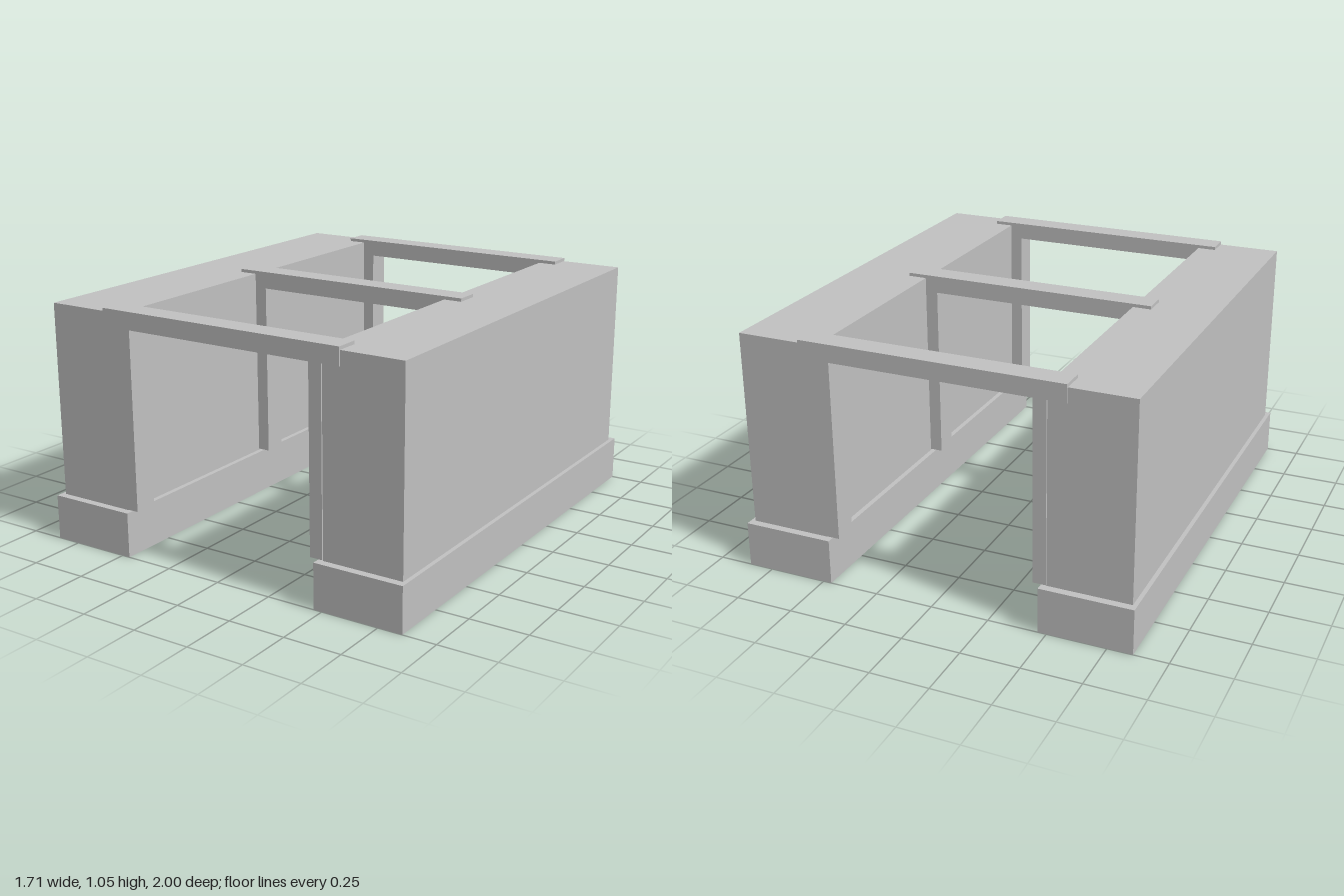
import * as THREE from 'three';

const grey = new THREE.MeshStandardMaterial({ color: 0xc0c0c0 });
grey.name = 'plain grey';

// Box given by its minimum and maximum along each axis
function block(name, [x0, x1], [y0, y1], [z0, z1]) {
  const mesh = new THREE.Mesh(new THREE.BoxGeometry(x1 - x0, y1 - y0, z1 - z0), grey);
  mesh.position.set((x0 + x1) / 2, (y0 + y1) / 2, (z0 + z1) / 2);
  mesh.name = name;
  return mesh;
}

export function createModel() {
  const model = new THREE.Group();
  model.name = 'bracedWalls';
  const frames = [-0.921, 0, 0.921];
  const halfDepth = 0.052;

  // Mirrored footings, walls and the posts against their inner faces
  for (const [side, s] of [['left', 1], ['right', -1]]) {
    const span = (a, b) => (s > 0 ? [a, b] : [-b, -a]);
    model.add(block(side + 'Footing', span(0.463, 0.856), [0, 0.195], [-1, 1]));
    model.add(block(side + 'Wall', span(0.485, 0.838), [0.195, 1.033], [-0.967, 0.967]));
    frames.forEach((z, i) => model.add(
      block(side + 'Post' + (i + 1), span(0.43, 0.486), [0.2, 0.973], [z - halfDepth, z + halfDepth])));
  }

  // Cross beams let into the wall tops
  frames.forEach((z, i) => model.add(
    block('crossBeam' + (i + 1), [-0.565, 0.565], [0.972, 1.047], [z - halfDepth, z + halfDepth])));

  return model;
}
